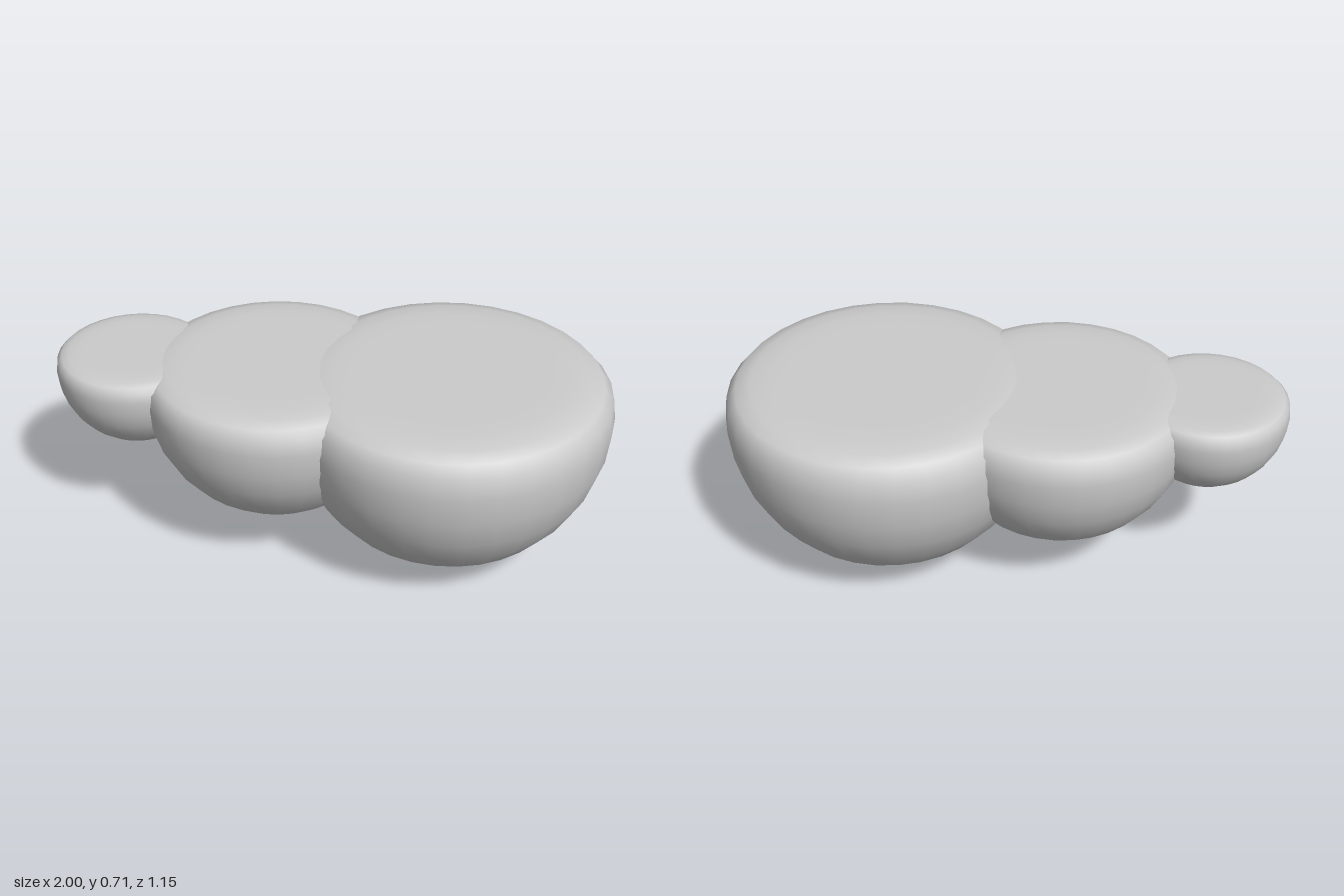
import * as THREE from 'three';

const material = new THREE.MeshStandardMaterial({ color: 0xcccccc });

// Height of the flattened upper rings, as a fraction of the rise above the widest ring
const CROWN = [0.565, 0.83, 0.95, 1, 1, 0.995, 0.99, 0.985];

// Half-sphere below, softly flattened crown above
function lobe(name, x, radius, bottom, top) {
  const equator = bottom + radius;
  const step = Math.PI / 16;
  const profile = [];
  for (let i = 0; i <= 8; i++) {
    const a = i * step;
    profile.push(new THREE.Vector2(i ? radius * Math.sin(a) : 0, equator - radius * Math.cos(a)));
  }
  CROWN.forEach((rise, i) => {
    const r = i === 7 ? 0 : radius * Math.cos((i + 1) * step);
    profile.push(new THREE.Vector2(r, equator + (top - equator) * rise));
  });
  const mesh = new THREE.Mesh(new THREE.LatheGeometry(profile, 32), material);
  mesh.name = name;
  mesh.position.x = x;
  return mesh;
}

export function createModel() {
  const group = new THREE.Group();
  group.name = 'flatToppedLobes';
  group.add(
    lobe('largeLobe', 0.425, 0.575, 0, 0.714),
    lobe('middleLobe', -0.2, 0.475, 0.13, 0.709),
    lobe('smallLobe', -0.715, 0.285, 0.355, 0.702),
  );
  return group;
}
